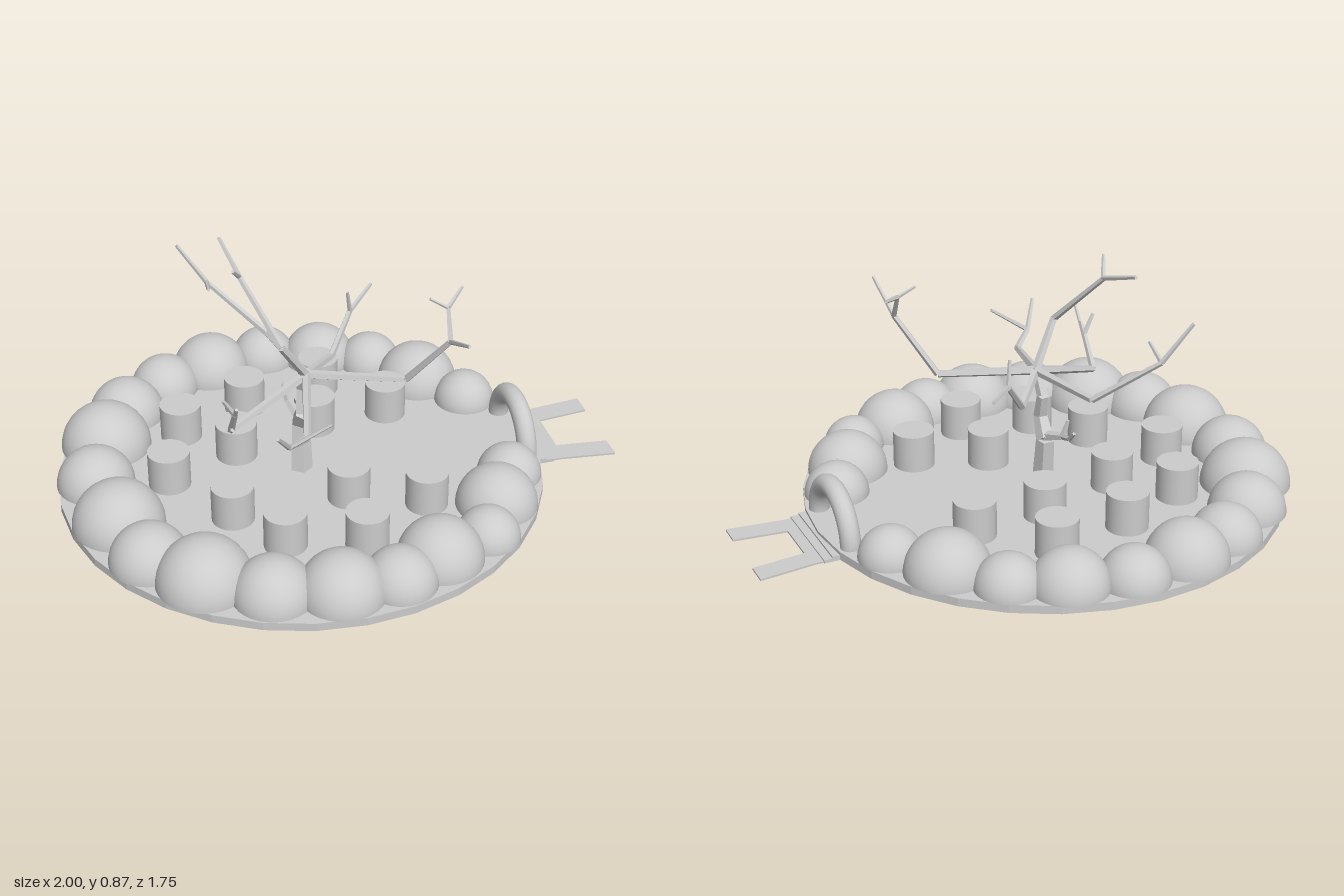
import * as THREE from 'three';

const smooth = new THREE.MeshStandardMaterial({ color: 0xcccccc });
const flat = new THREE.MeshStandardMaterial({ color: 0xcccccc, flatShading: true });
const CX = -0.135, FLOOR = 0.03;

function add(parent, name, geometry, material, x = 0, y = 0, z = 0) {
  const mesh = new THREE.Mesh(geometry, material);
  mesh.name = name;
  mesh.position.set(x, y, z);
  parent.add(mesh);
  return mesh;
}

function group(parent, name) {
  const g = new THREE.Group();
  g.name = name;
  parent.add(g);
  return g;
}

// Tapered limb through a list of points, each [x, y, z, radius]
function limb(parent, name, points) {
  for (let i = 0; i < points.length - 1; i++) {
    const [p, q] = [points[i], points[i + 1]];
    const a = new THREE.Vector3(p[0], p[1], p[2]);
    const b = new THREE.Vector3(q[0], q[1], q[2]);
    const dir = b.clone().sub(a);
    const mesh = add(parent, name, new THREE.CylinderGeometry(q[3], p[3], dir.length(), 5), flat);
    mesh.position.copy(a).add(b).multiplyScalar(0.5);
    mesh.quaternion.setFromUnitVectors(new THREE.Vector3(0, 1, 0), dir.normalize());
  }
}

// Hemispheres around the rim: [x, z, radius]
const DOMES = [
  [0.57, -0.27, 0.112], [0.437, -0.444, 0.15], [0.297, -0.615, 0.118], [0.115, -0.7, 0.137],
  [-0.094, -0.755, 0.123], [-0.313, -0.717, 0.147], [-0.506, -0.647, 0.128], [-0.678, -0.508, 0.139],
  [-0.785, -0.326, 0.163], [-0.86, -0.096, 0.139], [-0.822, 0.16, 0.162], [-0.758, 0.39, 0.139],
  [-0.603, 0.545, 0.165], [-0.4, 0.67, 0.14], [-0.18, 0.717, 0.15], [0.019, 0.717, 0.128],
  [0.185, 0.63, 0.15], [0.378, 0.562, 0.112], [0.469, 0.39, 0.145], [0.57, 0.235, 0.116],
];

// Stools on the floor: [x, z]
const STOOLS = [
  [0.056, -0.487], [-0.244, -0.428], [-0.51, -0.31], [-0.024, -0.235], [0.254, -0.257], [-0.34, -0.139],
  [-0.608, -0.027], [-0.019, 0.22], [-0.436, 0.23], [0.233, 0.326], [-0.297, 0.422], [-0.03, 0.492],
];

function buildTree(parent) {
  const tree = group(parent, 'tree');
  limb(tree, 'trunk', [
    [-0.135, 0.02, 0, 0.042], [-0.13, 0.21, -0.025, 0.034], [-0.135, 0.28, 0.025, 0.026],
    [-0.13, 0.37, 0, 0.021], [-0.125, 0.46, 0.045, 0.018],
  ]);
  limb(tree, 'trunkTwig', [[-0.13, 0.22, -0.02, 0.022], [-0.155, 0.25, -0.11, 0.013], [-0.17, 0.315, -0.12, 0.006]]);
  limb(tree, 'trunkTwig', [[-0.155, 0.25, -0.11, 0.011], [-0.15, 0.27, -0.17, 0.009], [-0.15, 0.305, -0.205, 0.006]]);

  // Each branch is a main path followed by its side twigs
  const hub = [-0.125, 0.45, 0.045];
  const branches = [
    [[hub, [-0.19, 0.45, -0.257], [-0.375, 0.61, -0.4], [-0.47, 0.75, -0.44]],
      [[-0.375, 0.61, -0.4], [-0.39, 0.64, -0.29]]],
    [[hub, [-0.225, 0.61, 0.105], [-0.325, 0.805, -0.07], [-0.355, 0.865, -0.245]],
      [[-0.325, 0.805, -0.07], [-0.36, 0.865, -0.005]]],
    [[hub, [0.2, 0.45, 0.165], [0.315, 0.65, 0.28], [0.325, 0.745, 0.215], [0.265, 0.78, 0.2]],
      [[0.325, 0.745, 0.215], [0.4, 0.77, 0.135]],
      [[0.315, 0.65, 0.28], [0.32, 0.735, 0.455]]],
    [[hub, [-0.42, 0.35, 0.165], [-0.42, 0.46, 0.24], [-0.46, 0.53, 0.25]],
      [[-0.42, 0.46, 0.24], [-0.42, 0.5, 0.27]],
      [[-0.42, 0.35, 0.165], [-0.465, 0.52, 0.41]]],
    [[hub, [-0.2, 0.4, 0.35], [-0.28, 0.43, 0.43], [-0.335, 0.52, 0.5]],
      [[-0.28, 0.43, 0.43], [-0.147, 0.52, 0.465]]],
    [[hub, [0.01, 0.405, -0.12], [0.1, 0.53, -0.2], [0.215, 0.55, -0.33]],
      [[0.1, 0.53, -0.2], [0.085, 0.62, -0.18]]],
  ];
  const taper = [0.017, 0.013, 0.01, 0.007, 0.005];
  for (const [main, ...twigs] of branches) {
    limb(tree, 'branch', main.map((p, i) => [...p, taper[i]]));
    for (const [a, b] of twigs) limb(tree, 'twig', [[...a, 0.009], [...b, 0.006]]);
  }
}

function buildEntrance(parent) {
  const entrance = group(parent, 'entrance');
  const arch = add(entrance, 'archway', new THREE.TorusGeometry(0.153, 0.036, 16, 32, Math.PI), smooth, 0.668, FLOOR, 0);
  arch.rotation.y = Math.PI / 2;

  // Shallow steps leading down from the arch
  [[0.71, 0.026], [0.74, 0.019], [0.77, 0.012]].forEach(([end, top]) =>
    add(entrance, 'step', new THREE.BoxGeometry(end - 0.6, top, 0.34), flat, (end + 0.6) / 2, top / 2, 0));

  // Thin forked path lying on the ground
  const fork = new THREE.Shape([
    [0.6, -0.165], [0.8, -0.165], [1, -0.187], [1, -0.105], [0.81, -0.085],
    [0.81, 0.085], [1, 0.105], [1, 0.187], [0.8, 0.165], [0.6, 0.165],
  ].map(([x, z]) => new THREE.Vector2(x, z)));
  const path = new THREE.ExtrudeGeometry(fork, { depth: 0.007, bevelEnabled: false });
  path.rotateX(-Math.PI / 2);
  add(entrance, 'forkedPath', path, flat);
}

export function createModel() {
  const model = new THREE.Group();
  model.name = 'walledGarden';

  add(model, 'floor', new THREE.CylinderGeometry(0.865, 0.865, FLOOR, 32), flat, CX, FLOOR / 2, 0);

  const wall = group(model, 'domeWall');
  for (const [x, z, r] of DOMES) {
    add(wall, 'dome', new THREE.SphereGeometry(r, 32, 10, 0, Math.PI * 2, 0, Math.PI / 2), smooth, x, FLOOR, z);
  }

  const stools = group(model, 'stools');
  for (const [x, z] of STOOLS) {
    add(stools, 'stool', new THREE.CylinderGeometry(0.075, 0.075, 0.137, 32), smooth, x, FLOOR + 0.0685, z);
  }

  buildEntrance(model);
  buildTree(model);
  return model;
}
